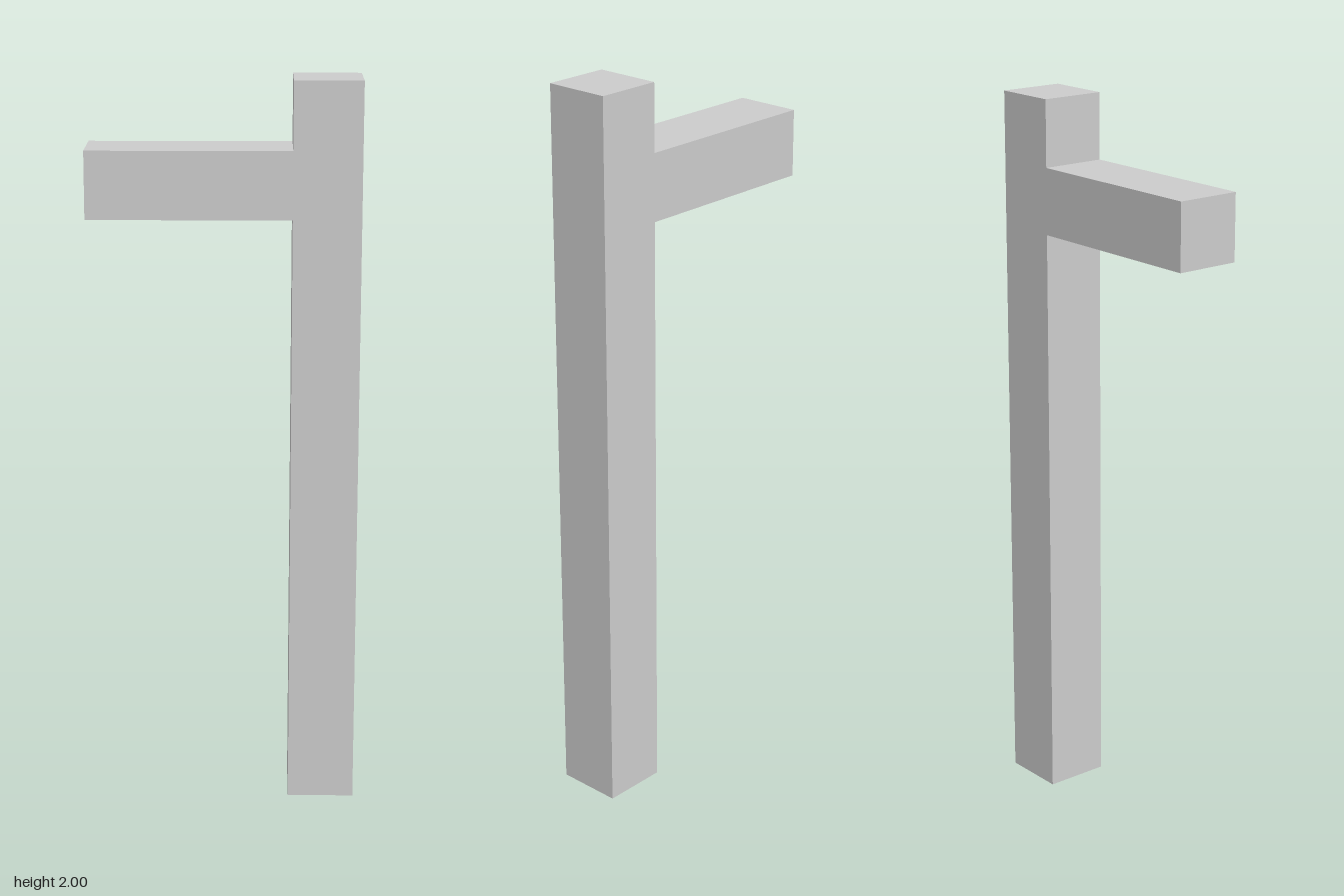
import * as THREE from 'three';

const U = 2 / 11; // square cross-section; the post is 11 units tall

export function createModel() {
  const group = new THREE.Group();
  group.name = 'postWithArm';

  // Post and side arm share one continuous outline, counter-clockwise from the foot
  const outline = [
    [1, 0], [2, 0], [2, 11], [1, 11], // post
    [1, 10], [-2, 10], [-2, 9], [1, 9], // arm
  ].map(([x, y]) => new THREE.Vector2(x * U, y * U));

  const geometry = new THREE.ExtrudeGeometry(new THREE.Shape(outline), {
    depth: U,
    bevelEnabled: false,
  });
  geometry.translate(0, 0, -U / 2);

  const post = new THREE.Mesh(
    geometry,
    new THREE.MeshStandardMaterial({ color: 0xcccccc, flatShading: true })
  );
  post.name = 'postAndArm';
  group.add(post);

  return group;
}
